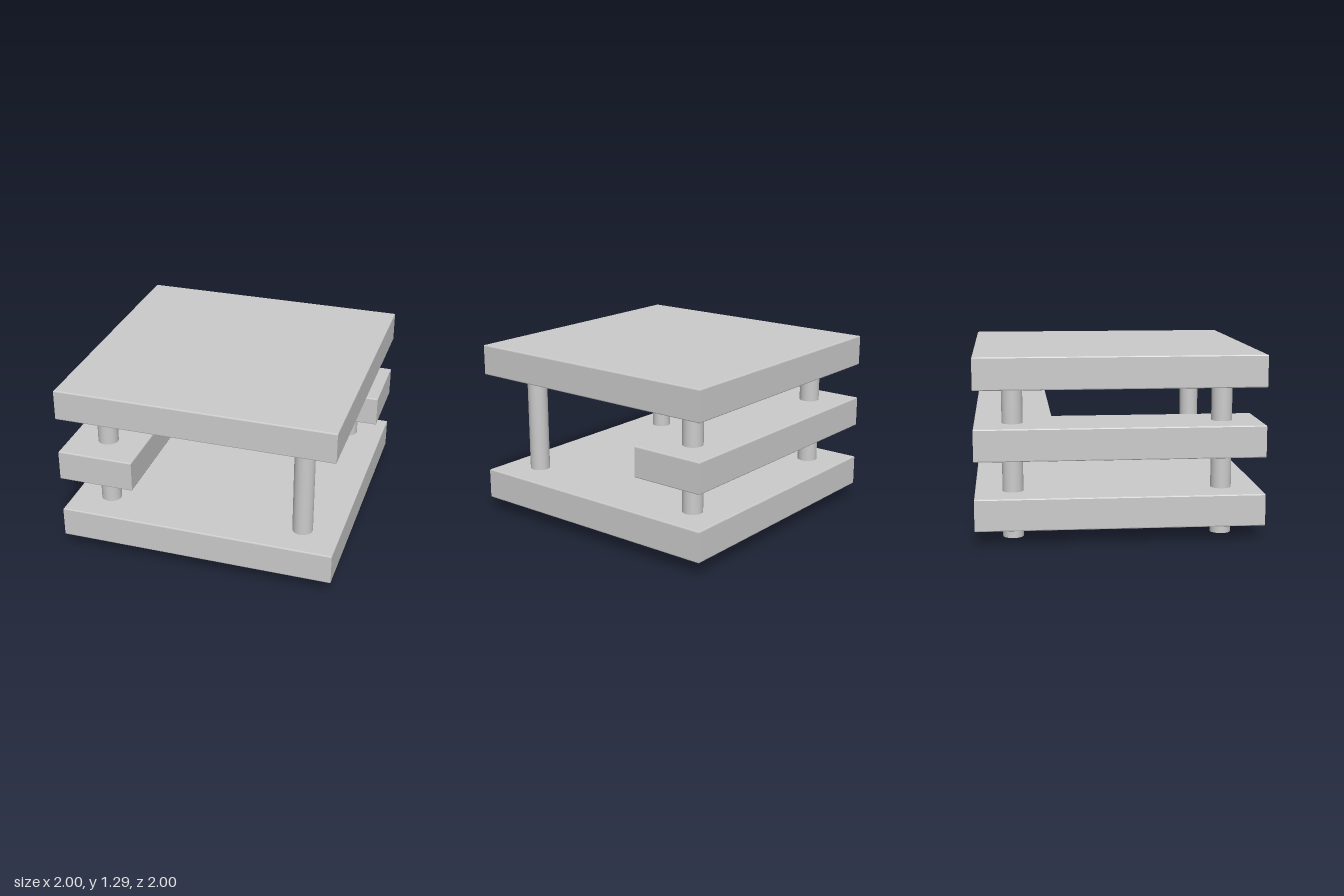
import * as THREE from 'three';

const material = new THREE.MeshStandardMaterial({ color: 0xcccccc });
const tubeMaterial = new THREE.MeshStandardMaterial({ color: 0xcccccc, side: THREE.DoubleSide });

const THICKNESS = 0.225;
const BEVEL = 0.008;

// Flat slab with softened edges from an [x, z] outline, resting at height y
function slab(name, outline, y) {
  const shape = new THREE.Shape(outline.map(([x, z]) => new THREE.Vector2(x, -z)));
  const geometry = new THREE.ExtrudeGeometry(shape, {
    depth: THICKNESS - 2 * BEVEL,
    bevelEnabled: true,
    bevelThickness: BEVEL,
    bevelSize: BEVEL,
    bevelOffset: -BEVEL,
    bevelSegments: 2,
  });
  geometry.rotateX(-Math.PI / 2);
  geometry.translate(0, y + BEVEL, 0);
  const mesh = new THREE.Mesh(geometry, material);
  mesh.name = name;
  return mesh;
}

export function createModel() {
  const table = new THREE.Group();
  table.name = 'shelvedTable';

  // Square top and bottom, with an L-shaped shelf open at the front left corner
  const square = [[-1, 1], [1, 1], [1, -1], [-1, -1]];
  const ell = [[-1, 1], [-0.45, 1], [-0.45, -0.45], [1, -0.45], [1, -1], [-1, -1]];
  table.add(slab('bottomShelf', square, 0.1));
  table.add(slab('middleShelf', ell, 0.58));
  table.add(slab('tableTop', square, 1.065));

  // Four tubular posts running through the shelves, open at the foot
  const height = 1.08;
  const postGeometry = new THREE.CylinderGeometry(0.073, 0.073, height, 32, 1, true);
  for (const sx of [-1, 1]) {
    for (const sz of [-1, 1]) {
      const post = new THREE.Mesh(postGeometry, tubeMaterial);
      post.name = (sz > 0 ? 'front' : 'back') + (sx > 0 ? 'Left' : 'Right') + 'Post';
      post.position.set(sx * 0.727, height / 2, sz * 0.735);
      table.add(post);
    }
  }
  return table;
}
